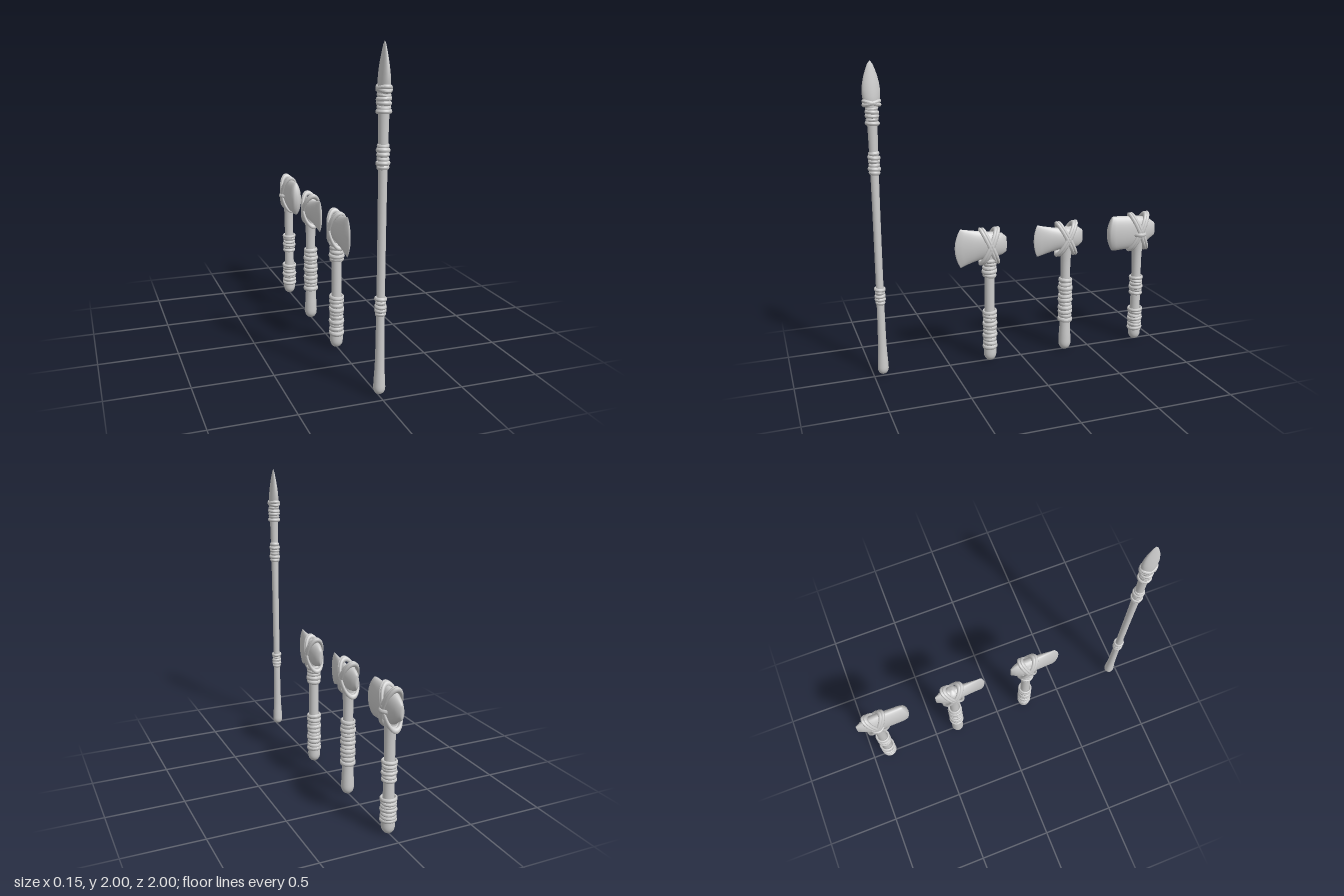
import * as THREE from 'three';

const material = new THREE.MeshStandardMaterial({ color: 0xcccccc, side: THREE.DoubleSide });

function add(group, geometry, name) {
  const mesh = new THREE.Mesh(geometry, material);
  mesh.name = name;
  group.add(mesh);
  return mesh;
}

// Turned shaft from [radius, height] points, smoothed along its length
function shaft(points) {
  const curve = new THREE.SplineCurve(points.map(([r, y]) => new THREE.Vector2(r, y)));
  const profile = curve.getPoints(48).map(p => new THREE.Vector2(Math.max(p.x, 0), p.y));
  return new THREE.LatheGeometry(profile, 24);
}

// Flat closed cord around the y axis with an oval section
function cord(rx, rz, halfHeight, thick) {
  const profile = [];
  for (let i = 0; i <= 10; i++) {
    const a = -i / 10 * Math.PI * 2;
    profile.push(new THREE.Vector2(1 + thick / rx * Math.cos(a), -halfHeight * Math.sin(a)));
  }
  return new THREE.LatheGeometry(profile, 32).scale(rx, 1, rz);
}

// Oval cross-sections along z: [z, top, bottom, halfThickness, edgeBulge]
function stone(stations) {
  const n = 32, pos = [], index = [];
  for (const [z, top, bottom, w, bulge = 0] of stations) {
    for (let i = 0; i < n; i++) {
      const a = i / n * Math.PI * 2, s = Math.sin(a), c = Math.cos(a);
      pos.push(w * c, (top + bottom) / 2 + (top - bottom) / 2 * s, z + bulge * (1 - s * s));
    }
  }
  for (let k = 0; k < stations.length - 1; k++) {
    for (let i = 0; i < n; i++) {
      const a = k * n + i, b = k * n + (i + 1) % n;
      index.push(a, b, b + n, a, b + n, a + n);
    }
  }
  const g = new THREE.BufferGeometry();
  g.setAttribute('position', new THREE.Float32BufferAttribute(pos, 3));
  g.setIndex(index);
  g.computeVertexNormals();
  return g;
}

// Stack of slightly uneven cord turns between two heights
function wrapping(group, y0, y1, radius, turns) {
  const wrap = new THREE.Group();
  wrap.name = 'gripWrapping';
  const step = (y1 - y0) / turns;
  for (let i = 0; i < turns; i++) {
    const r = radius + 0.003 * Math.sin(i * 2.3 + y0 * 9);
    const turn = add(wrap, cord(r, r, step * 0.55, 0.008), 'cordTurn');
    turn.position.y = y0 + (i + 0.5) * step;
    turn.rotation.x = 0.13 * Math.sin(i * 1.9 + y1 * 7);
    turn.rotation.z = 0.06 * Math.sin(i * 2.7);
  }
  group.add(wrap);
}

// Axe sizes are relative to the handle axis
function axe({ z, stations, wraps, strap, tilt, belt }) {
  const group = new THREE.Group();
  group.name = 'stoneAxe';
  group.position.z = z;
  add(group, shaft([[0, 0.003], [0.024, 0.01], [0.041, 0.04], [0.041, 0.1], [0.036, 0.2],
    [0.033, 0.4], [0.033, 0.6], [0.038, 0.7], [0.046, 0.8], [0.04, 0.86], [0, 0.885]]), 'handle');
  add(group, stone(stations), 'axeHead');
  for (const [y0, y1, radius, turns] of wraps) wrapping(group, y0, y1, radius, turns);
  // Crossed lashing over the head
  for (const side of [-1, 1]) {
    for (const off of [-0.009, 0.009]) {
      const loop = add(group, cord(0.056, strap, 0.013, 0.008), 'crossLashing');
      loop.rotation.x = Math.PI / 2 + side * tilt;
      loop.position.set(0, 0.8, off);
    }
  }
  if (belt) {
    const loop = add(group, cord(0.066, 0.052, 0.014, 0.008), 'lashingBelt');
    loop.position.y = 0.785;
  }
  return group;
}

function spear() {
  const group = new THREE.Group();
  group.name = 'spear';
  group.position.z = 0.942;
  add(group, shaft([[0, 0.015], [0.022, 0.025], [0.034, 0.05], [0.033, 0.1], [0.027, 0.22], [0.024, 0.5],
    [0.024, 1.0], [0.026, 1.35], [0.03, 1.6], [0.035, 1.7], [0.034, 1.75], [0, 1.77]]), 'spearShaft');
  // Leaf-shaped point, broad in z
  const point = [[1.68, 0.02, 0.02], [1.74, 0.044, 0.034], [1.79, 0.054, 0.031], [1.83, 0.055, 0.027],
    [1.87, 0.05, 0.022], [1.91, 0.041, 0.016], [1.95, 0.028, 0.01], [1.98, 0.016, 0.005], [2, 0, 0]];
  add(group, stone(point.map(([y, h, w]) => [y, h, -h, w])).rotateX(-Math.PI / 2), 'spearPoint');
  wrapping(group, 0.49, 0.6, 0.026, 5);
  wrapping(group, 1.32, 1.46, 0.029, 6);
  wrapping(group, 1.62, 1.73, 0.034, 5);
  for (const side of [-1, 1]) {
    const loop = add(group, cord(0.036, 0.05, 0.012, 0.007), 'pointLashing');
    loop.position.y = 1.752;
    loop.rotation.x = side * 0.25;
  }
  return group;
}

export function createModel() {
  const model = new THREE.Group();
  model.name = 'stoneWeapons';
  model.add(spear());
  model.add(axe({
    z: 0.22, strap: 0.122, tilt: 0.42,
    wraps: [[0.09, 0.36, 0.04, 10], [0.59, 0.72, 0.041, 5]],
    stations: [[-0.12, 0.85, 0.755, 0], [-0.118, 0.853, 0.752, 0.014], [-0.09, 0.88, 0.735, 0.03],
      [-0.05, 0.893, 0.725, 0.043], [0, 0.895, 0.72, 0.047], [0.04, 0.903, 0.718, 0.042],
      [0.1, 0.911, 0.703, 0.034, 0.01], [0.16, 0.921, 0.683, 0.021, 0.025],
      [0.19, 0.927, 0.67, 0.01, 0.034], [0.196, 0.925, 0.672, 0, 0.036]],
  }));
  model.add(axe({
    z: -0.325, strap: 0.122, tilt: 0.5,
    wraps: [[0.21, 0.52, 0.041, 11]],
    stations: [[-0.12, 0.85, 0.765, 0], [-0.118, 0.853, 0.762, 0.014], [-0.085, 0.876, 0.737, 0.03],
      [-0.045, 0.882, 0.73, 0.043], [0, 0.875, 0.728, 0.047], [0.05, 0.876, 0.727, 0.04],
      [0.11, 0.886, 0.715, 0.031, 0.008], [0.17, 0.898, 0.699, 0.019, 0.015],
      [0.205, 0.907, 0.69, 0.01, 0.022], [0.21, 0.905, 0.692, 0, 0.023]],
  }));
  model.add(axe({
    z: -0.87, strap: 0.135, tilt: 0.44, belt: true,
    wraps: [[0.08, 0.24, 0.043, 7], [0.34, 0.475, 0.039, 6]],
    stations: [[-0.13, 0.85, 0.765, 0], [-0.128, 0.853, 0.762, 0.014], [-0.095, 0.878, 0.742, 0.03],
      [-0.05, 0.9, 0.71, 0.045], [0, 0.91, 0.69, 0.049], [0.04, 0.915, 0.682, 0.046],
      [0.11, 0.917, 0.679, 0.043, 0.01], [0.165, 0.92, 0.676, 0.04, 0.022],
      [0.19, 0.92, 0.676, 0.032, 0.029], [0.198, 0.917, 0.679, 0.018, 0.031], [0.2, 0.914, 0.682, 0, 0.032]],
  }));
  return model;
}
